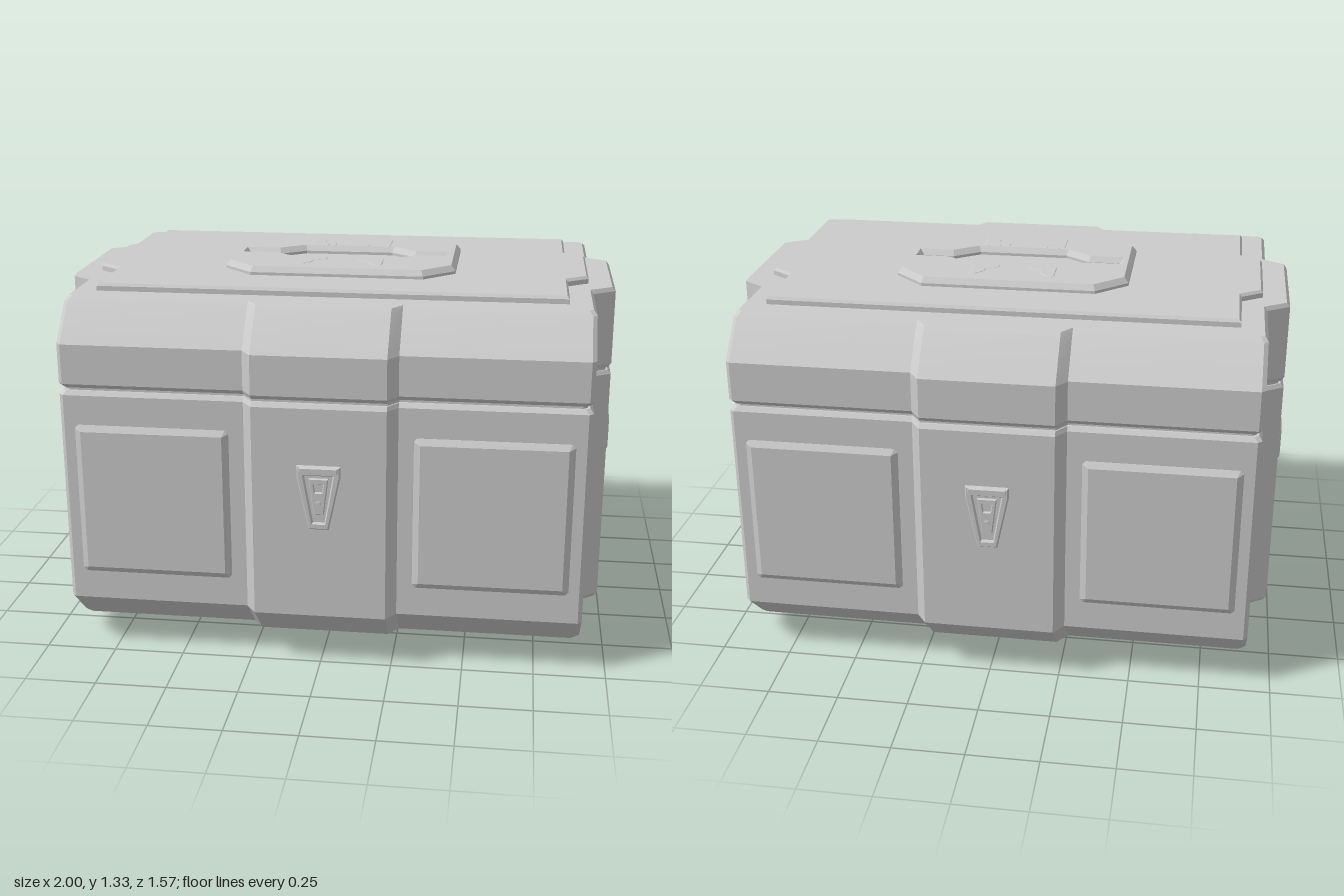
import * as THREE from 'three';
import { toCreasedNormals } from 'three/addons/utils/BufferGeometryUtils.js';

const material = new THREE.MeshStandardMaterial({ color: 0xcccccc });

function add(parent, name, geometry, x = 0, y = 0, z = 0) {
  const mesh = new THREE.Mesh(toCreasedNormals(geometry, 0.35), material);
  mesh.name = name;
  mesh.position.set(x, y, z);
  parent.add(mesh);
  return mesh;
}

function group(parent, name) {
  const g = new THREE.Group();
  g.name = name;
  parent.add(g);
  return g;
}

// Mirror one quadrant (x axis towards y axis) into a full outline
function symmetric(q) {
  const r = [...q].reverse();
  return [...q, ...r.map(([x, y]) => [-x, y]), ...q.map(([x, y]) => [-x, -y]), ...r.map(([x, y]) => [x, -y])];
}

// Chamfered rectangle
const chamfered = (w, h, c) => symmetric([[w, h - c], [w - c, h]]);
const shift = (pts, dx, dy) => pts.map(([x, y]) => [x + dx, y + dy]);

function shapeOf(pts, holes = []) {
  const toVec = (p) => new THREE.Vector2(p[0], p[1]);
  const shape = new THREE.Shape(pts.map(toVec));
  shape.holes = holes.map((h) => new THREE.Path(h.map(toVec)));
  return shape;
}

// Plate rising from z = 0 to z = h with a bevelled rim
function plate(pts, h, bevel, holes = [], thickness = h * 0.6) {
  return new THREE.ExtrudeGeometry(shapeOf(pts, holes), {
    depth: h - thickness, bevelThickness: thickness, bevelSize: bevel,
    bevelOffset: -bevel, bevelSegments: 1, curveSegments: 12,
  });
}

// Skin a stack of equal-length rings; optional caps and skipped quads
function loft(rings, capStart, capEnd, skip = () => false) {
  const pos = [];
  const tri = (...v) => v.forEach((p) => pos.push(p.x, p.y, p.z));
  const n = rings[0].length;
  const cap = (ring, flip) => {
    const c = ring.reduce((s, p) => s.add(p), new THREE.Vector3()).divideScalar(n);
    ring.forEach((p, j) => {
      const q = ring[(j + 1) % n];
      flip ? tri(c, q, p) : tri(c, p, q);
    });
  };
  for (let i = 0; i < rings.length - 1; i++) {
    for (let j = 0; j < n; j++) {
      const k = (j + 1) % n;
      const [a, b, c, d] = [rings[i][j], rings[i][k], rings[i + 1][k], rings[i + 1][j]];
      if (!skip(i, a, b)) tri(a, b, c, a, c, d);
    }
  }
  if (capStart) cap(rings[0], true);
  if (capEnd) cap(rings[rings.length - 1], false);
  const g = new THREE.BufferGeometry();
  g.setAttribute('position', new THREE.Float32BufferAttribute(pos, 3));
  return g;
}

// Plan outline of the crate at height y: e insets the sides, drop insets front and back
function crateRing([y, e, drop]) {
  const d = 0.72 - drop;
  return symmetric([
    [0.99 - e, 0.225], [0.91 - e, 0.28], [0.91 - e, d - 0.015], [0.895 - e, d],
    [0.265, d], [0.23, d + 0.05],
  ]).map(([x, z]) => new THREE.Vector3(x, y, -z));
}

export function createModel() {
  const model = new THREE.Group();
  model.name = 'crate';

  // Main shells; the body leaves its two tall side faces open for the grips
  const bodyRings = [[0.065, 0.015, 0.135], [0.08, 0, 0.12], [0.19, 0, 0], [0.95, 0, 0], [0.965, 0.012, 0.012]];
  const lidRings = [[0.975, 0.012, 0.012], [0.99, 0, 0], [1.13, 0, 0], [1.255, 0, 0.115], [1.27, 0.012, 0.135]];
  const isSide = (i, a, b) => i === 2 && Math.abs(a.x) > 0.985 && Math.abs(a.x - b.x) < 1e-6;
  add(model, 'body', loft(bodyRings.map(crateRing), true, true, isSide));
  add(model, 'lid', loft(lidRings.map(crateRing), true, true));
  add(model, 'seam', loft([[0.95, 0.02, 0.02], [1.0, 0.02, 0.02]].map(crateRing), false, false));

  // Front and back: raised panels and latch
  for (const [name, turn] of [['front', 0], ['back', Math.PI]]) {
    const face = group(model, name + 'Face');
    face.rotation.y = turn;
    for (const s of [-1, 1]) {
      add(face, 'raisedPanel', plate(chamfered(0.27, 0.275, 0.012), 0.015, 0.022, [], 0.014), s * 0.588, 0.57, 0.72);
    }
    const frame = [[0.035, 0.52], [0.075, 0.71], [0.075, 0.75], [-0.075, 0.75], [-0.075, 0.71], [-0.035, 0.52]];
    const opening = [[0.02, 0.545], [0.05, 0.715], [-0.05, 0.715], [-0.02, 0.545]];
    const tab = [[0.018, 0.575], [0.034, 0.705], [-0.034, 0.705], [-0.018, 0.575]];
    const slot = [[0.012, 0.655], [0.017, 0.685], [-0.017, 0.685], [-0.012, 0.655]];
    add(face, 'latchFrame', plate(frame, 0.012, 0.005, [opening]), 0, 0, 0.77);
    add(face, 'latchTab', plate(tab, 0.009, 0.003, [slot]), 0, 0, 0.77);
    add(face, 'latchBar', plate(shift(chamfered(0.068, 0.012, 0.004), 0, 0.735), 0.017, 0.004), 0, 0, 0.77);
    add(face, 'latchPin', new THREE.CylinderGeometry(0.009, 0.011, 0.012, 16).rotateX(Math.PI / 2), 0, 0.615, 0.778);
  }

  // Left and right: side face with a recessed grip
  for (const [name, turn] of [['left', Math.PI / 2], ['right', -Math.PI / 2]]) {
    const side = group(model, name + 'Face');
    side.rotation.y = turn;
    const opening = shift(chamfered(0.13, 0.048, 0.015), 0, 0.702);
    const wall = [[-0.225, 0.19], [0.225, 0.19], [0.225, 0.95], [-0.225, 0.95]];
    add(side, 'sideWall', new THREE.ShapeGeometry(shapeOf(wall, [opening])), 0, 0, 0.99);
    add(side, 'gripFrame', plate(shift(chamfered(0.16, 0.07, 0.018), 0, 0.7), 0.01, 0.008, [opening]), 0, 0, 0.99);
    // The pocket floor slopes up to a narrower back
    const rim = opening.map(([x, y]) => new THREE.Vector3(x, y, 0.99));
    const back = opening.map(([x, y]) => new THREE.Vector3(x, 0.75 - (0.75 - y) * 0.62, 0.94));
    add(side, 'gripPocket', loft([rim, back], false, true));
  }

  // Outlines shared by the top and bottom
  const coverOutline = symmetric([[0.895, 0.18], [0.82, 0.235], [0.82, 0.505]]);
  const octagon = symmetric([[0.42, 0.2], [0.31, 0.308]]);
  const recess = symmetric([[0.37, 0.026], [0.255, 0.026], [0.165, 0.095]]);
  const notch = [[0.055, 0.12], [0.155, 0.12], [0.155, 0.235], [0.13, 0.235], [0.1, 0.195], [0.1, 0.17], [0.055, 0.15]];
  const notches = [];
  for (const sx of [-1, 1]) for (const sy of [-1, 1]) notches.push(notch.map(([x, y]) => [x * sx, y * sy]));

  // Top: cover plate and octagonal plate with a grip recess
  const top = group(model, 'top');
  top.rotation.x = -Math.PI / 2;
  add(top, 'topCover', plate(coverOutline, 0.027, 0.008, [], 0.01), 0, 0, 1.27);
  add(top, 'octagonPlate', plate(octagon, 0.03, 0.016, [recess], 0.02).translate(0, 0, 0), 0, 0, 1.297);
  for (const n of notches) {
    const inset = plate(n, 0.003, 0.003);
    add(top, 'shallowRib', inset, 0, 0, 1.326);
  }

  // Bottom: cover plate, shallow octagon, central boss, bars and feet
  const bottom = group(model, 'bottom');
  bottom.rotation.x = Math.PI / 2;
  add(bottom, 'bottomCover', plate(coverOutline, 0.028, 0.008, [], 0.01), 0, 0, -0.067);
  add(bottom, 'bottomOctagon', plate(octagon, 0.005, 0.004), 0, 0, -0.04);
  add(bottom, 'bottomBoss', plate(symmetric([[0.25, 0.02], [0.16, 0.075]]), 0.035, 0.02, [], 0.025), 0, 0, -0.036);
  for (const sx of [-1, 1]) {
    for (const sy of [-1, 1]) {
      const bar = add(bottom, 'bottomBar', plate(chamfered(0.045, 0.012, 0.005), 0.012, 0.004), sx * 0.2, sy * 0.15, -0.036);
      bar.rotation.z = -sx * sy * 0.7;
      const x = sx * 0.645, y = sy * 0.342;
      add(bottom, 'foot', plate(chamfered(0.105, 0.102, 0.035), 0.034, 0.012, [], 0.026), x, y, -0.039);
      add(bottom, 'footScrew', new THREE.CylinderGeometry(0.014, 0.014, 0.01, 12).rotateX(Math.PI / 2), x, y, -0.007);
    }
  }
  return model;
}
